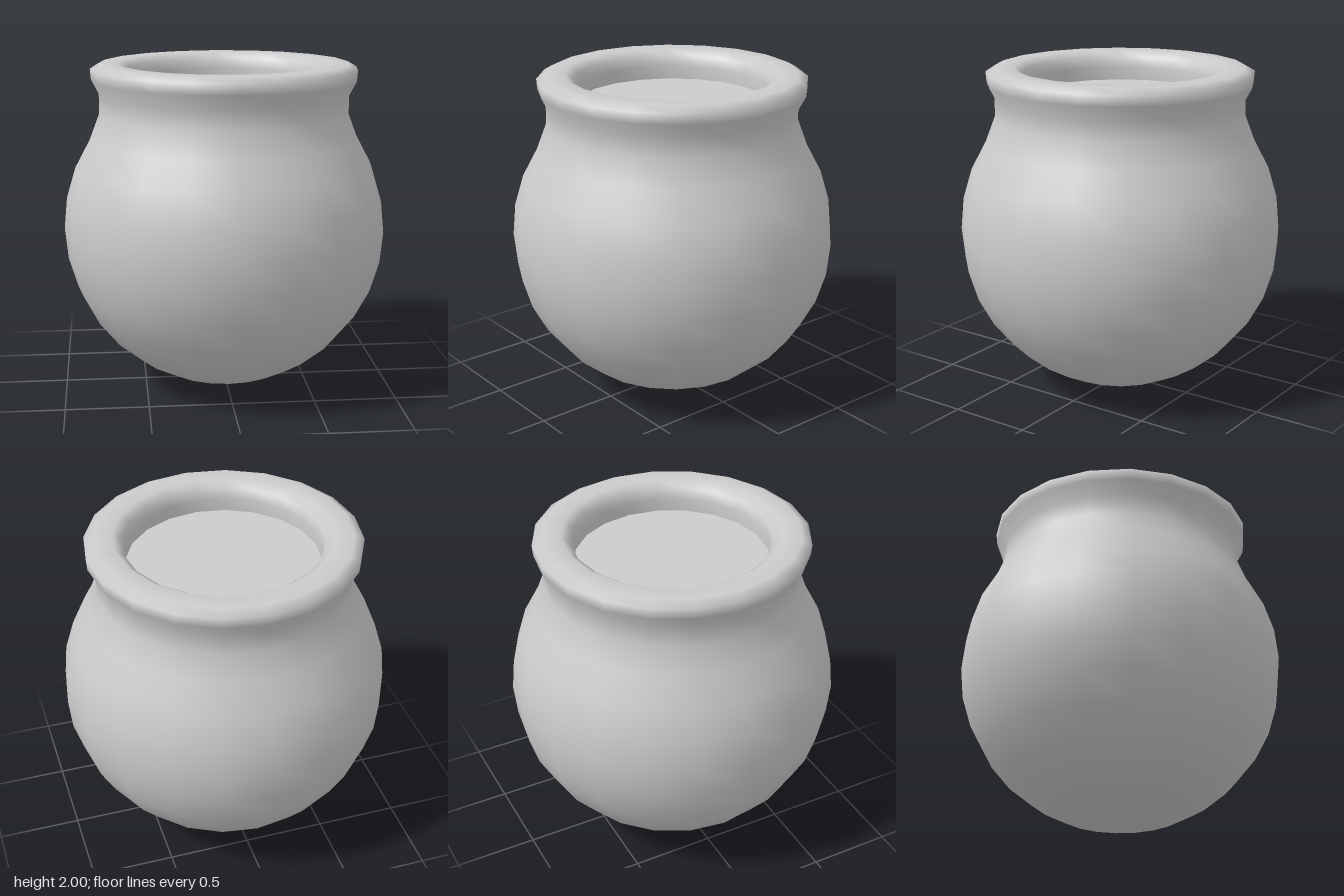
import * as THREE from 'three';

const SIDES = 20;

export function createModel() {
  const model = new THREE.Group();
  const grey = new THREE.MeshStandardMaterial({ color: 0xcccccc });

  // Round belly: arc from the bottom pole up to the shoulder
  const profile = [];
  const radius = 0.987, centreY = 0.993;
  for (let i = 0; i <= 11; i++) {
    const a = (i * Math.PI) / 16;
    profile.push(new THREE.Vector2(
      i === 0 ? 0 : radius * Math.sin(a),
      i === 0 ? 0 : centreY - radius * Math.cos(a)
    ));
  }

  // Straight neck, flared rounded lip and inner wall
  const neckAndLip = [
    [0.76, 1.70], [0.76, 1.82], [0.805, 1.905], [0.81, 1.97], [0.755, 2.0],
    [0.64, 2.0], [0.59, 1.965], [0.575, 1.90], [0.575, 1.82],
  ];
  neckAndLip.forEach(([r, y]) => profile.push(new THREE.Vector2(r, y)));

  const pot = new THREE.Mesh(new THREE.LatheGeometry(profile, SIDES), grey);
  pot.name = 'pot';
  model.add(pot);

  // Flat surface of the contents just below the lip
  const contents = new THREE.Mesh(new THREE.CircleGeometry(0.575, SIDES), grey);
  contents.name = 'contents';
  contents.rotation.x = -Math.PI / 2;
  contents.position.y = 1.82;
  model.add(contents);

  return model;
}
